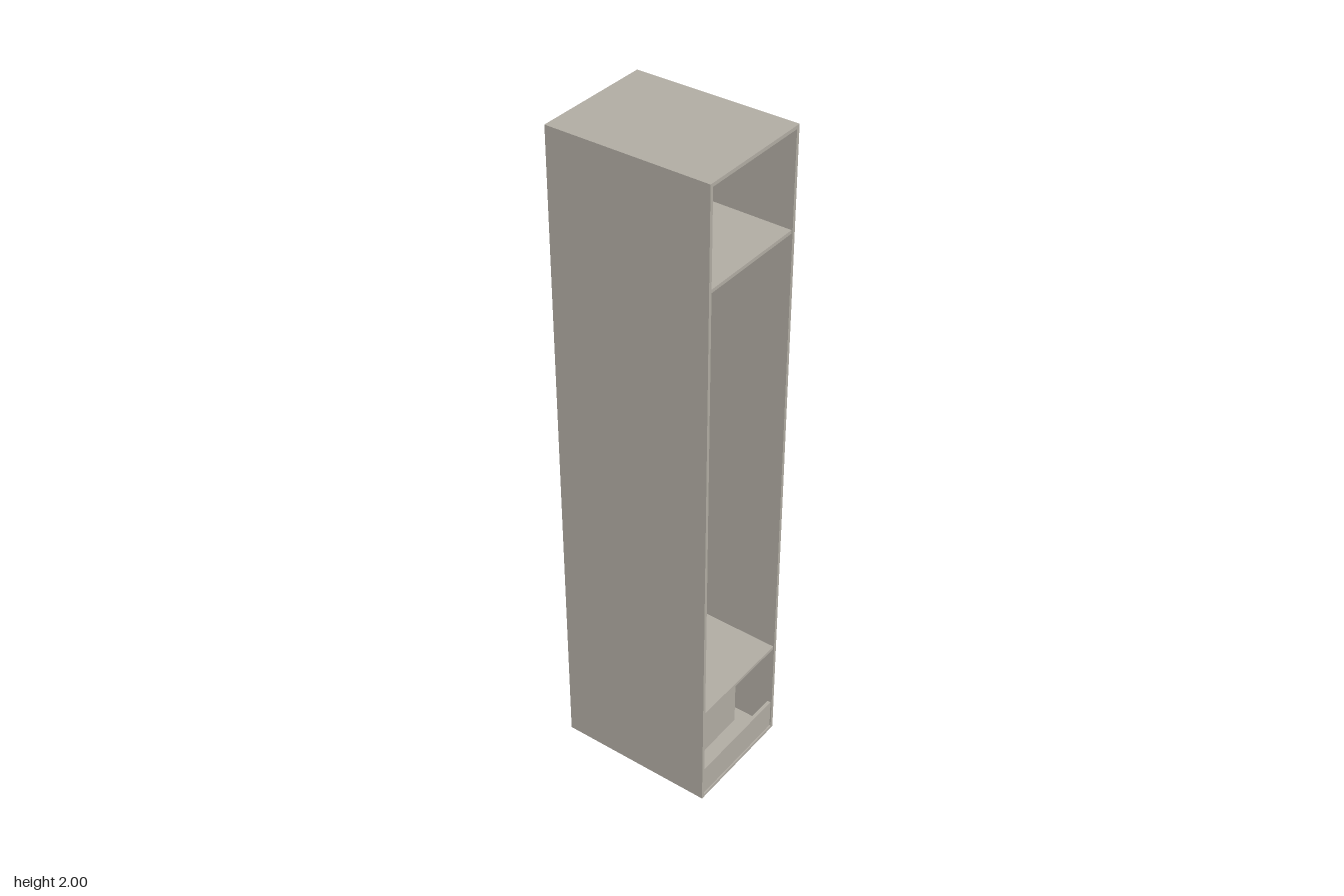
import * as THREE from 'three';

export function createModel() {
  const model = new THREE.Group();
  model.name = 'openLocker';
  const metal = new THREE.MeshStandardMaterial({ color: 0xb0aba2 });
  metal.name = 'warm grey';

  // Box given by its extents along each axis
  const box = (name, [x0, x1], [y0, y1], [z0, z1], parent = model) => {
    const mesh = new THREE.Mesh(new THREE.BoxGeometry(x1 - x0, y1 - y0, z1 - z0), metal);
    mesh.position.set((x0 + x1) / 2, (y0 + y1) / 2, (z0 + z1) / 2);
    mesh.name = name;
    parent.add(mesh);
    return mesh;
  };

  const W = 0.18, D = 0.24, H = 2, T = 0.01;
  const inner = [-W + T, W - T];

  // Cabinet shell, open at the front
  box('leftWall', [W - T, W], [0, H], [-D, D]);
  box('rightWall', [-W, -W + T], [0, H], [-D, D]);
  box('backPanel', inner, [0, H], [-D, -D + T]);
  box('floorPanel', inner, [0, T], [-D + T, D]);
  box('topPanel', inner, [H - T, H], [-D + T, D]);

  // Shelves and low front lip
  box('upperShelf', inner, [1.705, 1.715], [-D + T, D - 0.003]);
  box('lowerShelf', inner, [0.32, 0.33], [-D + T, D - 0.003]);
  box('frontLip', inner, [T, 0.105], [D - 0.015, D - 0.004]);

  // Stored box in the bottom compartment
  box('storageBox', [-0.125, 0.125], [T, 0.29], [-0.14, 0.14]);

  // Hanging rail
  const rail = new THREE.Mesh(new THREE.CylinderGeometry(0.006, 0.006, 0.306, 16), metal);
  rail.rotation.z = Math.PI / 2;
  rail.position.set(0, 1.606, 0);
  rail.name = 'hangingRail';
  model.add(rail);

  // Four hanging garments, each on a hanger stem
  for (let i = 0; i < 4; i++) {
    const x = (i - 1.5) * 0.063;
    const garment = new THREE.Group();
    garment.name = `hangingGarment${i + 1}`;
    box('hangerStem', [x - 0.005, x + 0.005], [1.51, 1.605], [-0.005, 0.005], garment);
    box('garment', [x - 0.024, x + 0.024], [1.24, 1.515], [-0.028, 0.028], garment);
    model.add(garment);
  }

  return model;
}
